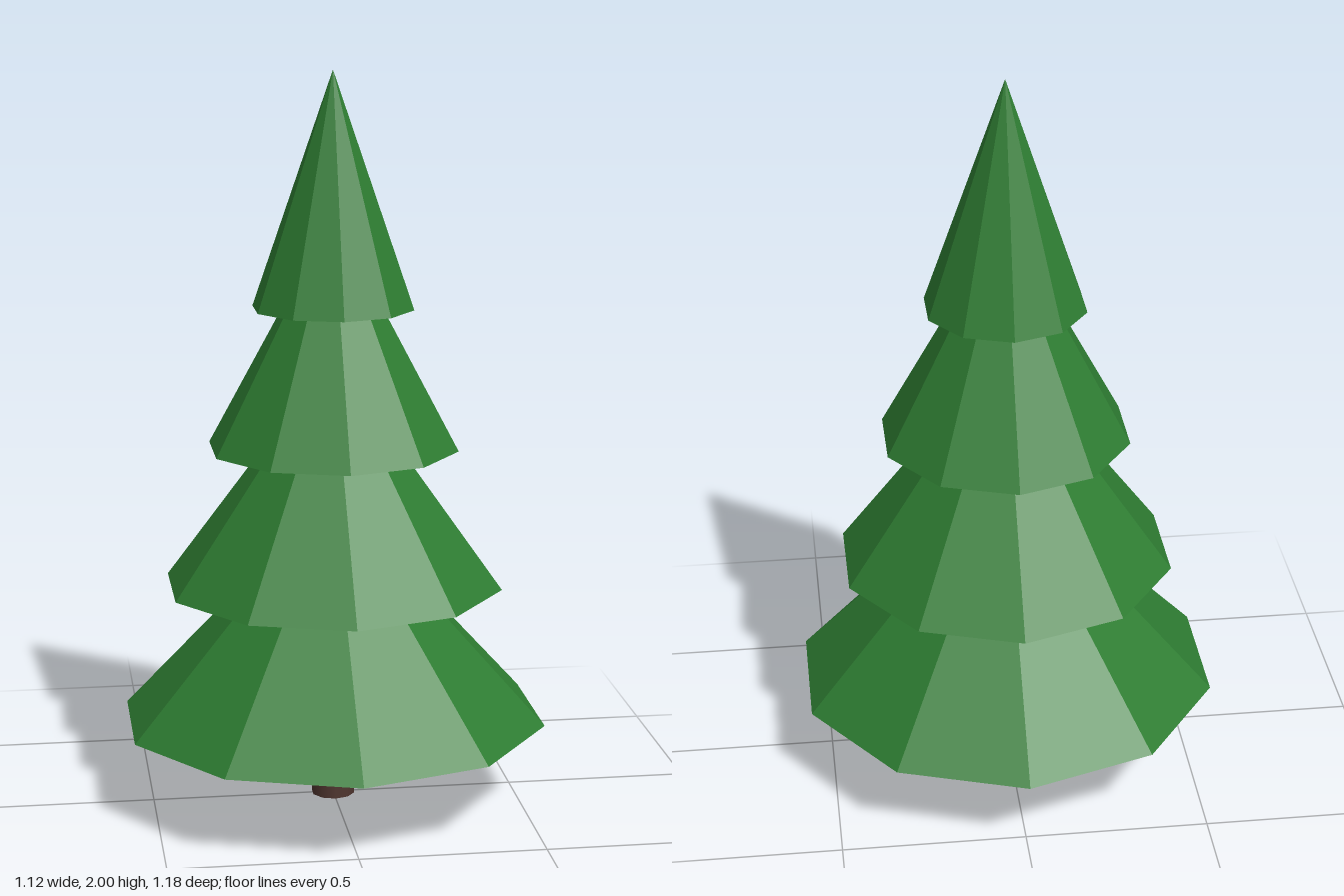
import * as THREE from 'three';

export function createModel() {
  const tree = new THREE.Group();
  tree.name = 'pineTree';

  const needles = new THREE.MeshStandardMaterial({ color: 0x2e7d32, flatShading: true });
  needles.name = 'needleGreen';
  const bark = new THREE.MeshStandardMaterial({ color: 0x4e342e });
  bark.name = 'barkBrown';

  // Slightly tapered trunk, running up into the lowest tier
  const trunkHeight = 0.3;
  const trunk = new THREE.Mesh(new THREE.CylinderGeometry(0.05, 0.06, trunkHeight, 10), bark);
  trunk.name = 'trunk';
  trunk.position.y = trunkHeight / 2;
  tree.add(trunk);

  // Four stacked ten-sided cones of equal height and shrinking radius
  const tierHeight = 0.632;
  const firstBase = 0.228;
  const tierStep = 0.38;
  [0.588, 0.465, 0.343, 0.22].forEach((radius, i) => {
    const tier = new THREE.Mesh(new THREE.ConeGeometry(radius, tierHeight, 10), needles);
    tier.name = `foliageTier${i + 1}`;
    tier.position.y = firstBase + i * tierStep + tierHeight / 2;
    tree.add(tier);
  });

  return tree;
}
